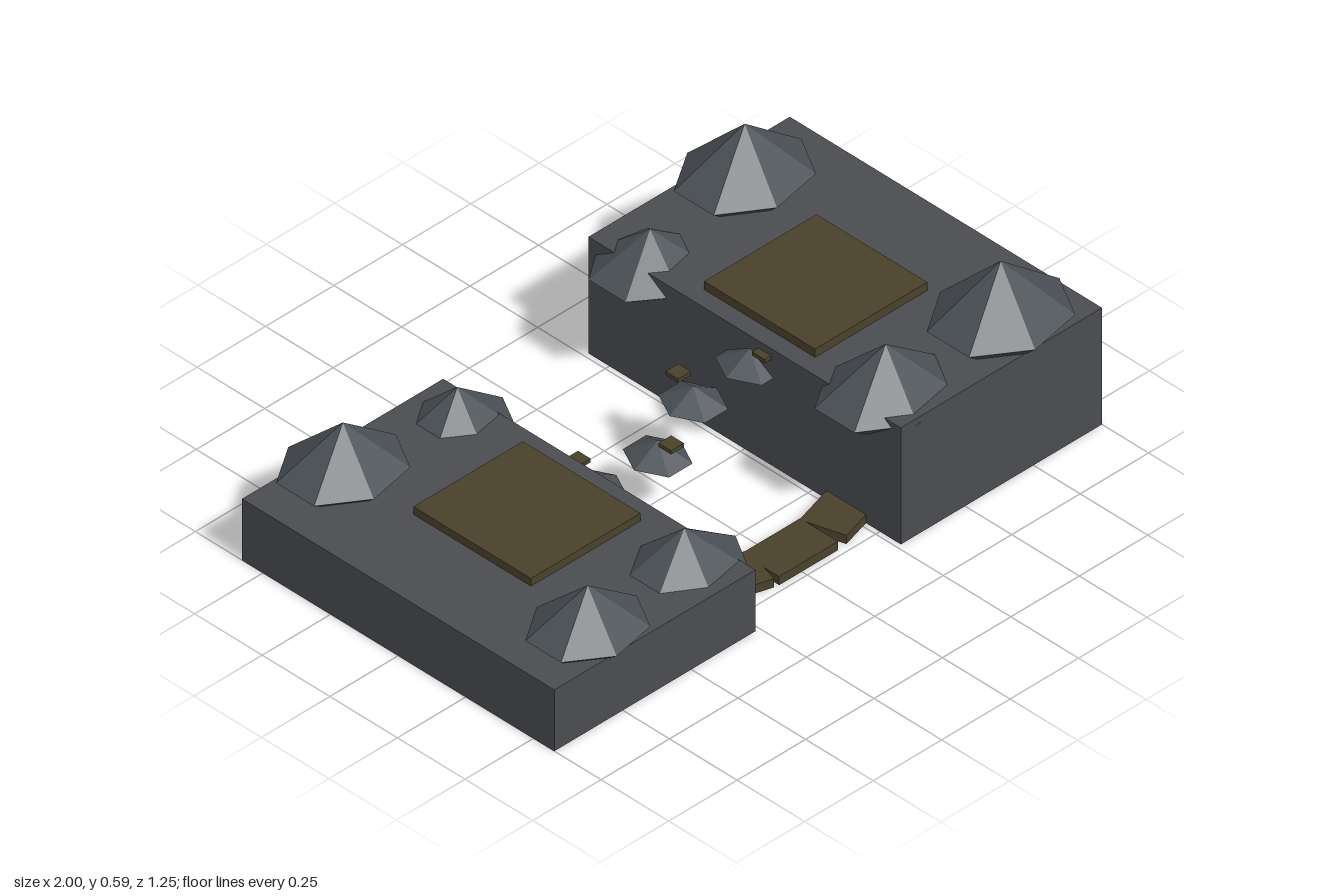
import * as THREE from 'three';

const material = (name, color, flatShading = false) => {
  const m = new THREE.MeshStandardMaterial({ color, flatShading });
  m.name = name;
  return m;
};

export function createModel() {
  const group = new THREE.Group();
  const stone = material('slate', 0x4a4c51);
  const rockMat = material('rock grey', 0x4a5055, true);
  const wood = material('dark ochre', 0x4a412b);

  const add = (name, geometry, mat, x, y, z) => {
    const mesh = new THREE.Mesh(geometry, mat);
    mesh.name = name;
    mesh.position.set(x, y, z);
    group.add(mesh);
    return mesh;
  };
  const box = (name, mat, x, y, z, w, h, d) =>
    add(name, new THREE.BoxGeometry(w, h, d), mat, x, y + h / 2, z);

  // Two cliffs of different height, each with a flat platform on top
  box('lowCliff', stone, -0.633, 0, 0, 0.735, 0.2, 1.155);
  box('highCliff', stone, 0.633, 0, 0, 0.735, 0.38, 1.155);
  box('lowPlatform', wood, -0.53, 0.2, 0, 0.4, 0.025, 0.435);
  box('highPlatform', wood, 0.525, 0.38, 0, 0.41, 0.027, 0.41);

  // Double-pointed rocks sunk into the cliff tops
  const boulder = new THREE.SphereGeometry(1, 7, 2).rotateY(Math.PI);
  const rocks = [ // x, y, z, then radii
    [-0.735, 0.222, -0.473, 0.194, 0.142, 0.162],
    [-0.76, 0.218, 0.457, 0.18, 0.13, 0.152],
    [-0.345, 0.165, -0.445, 0.166, 0.122, 0.142],
    [-0.37, 0.182, 0.42, 0.187, 0.124, 0.15],
    [0.72, 0.41, -0.46, 0.207, 0.16, 0.17],
    [0.76, 0.42, 0.446, 0.214, 0.17, 0.18],
    [0.335, 0.335, -0.42, 0.175, 0.118, 0.157],
    [0.37, 0.36, 0.415, 0.208, 0.15, 0.17],
  ];
  for (const [x, y, z, rx, ry, rz] of rocks)
    add('cliffRock', boulder, rockMat, x, y, z).scale.set(rx, ry, rz);

  // Floating stepping stones climbing across the gap, each with a small marker
  const step = new THREE.SphereGeometry(1, 6, 2);
  const steps = [[-0.25, -0.04, -0.095], [-0.082, 0.03, 0.08], [0.097, -0.02, -0.075], [0.265, 0.02, 0.075]];
  steps.forEach(([x, z, markerZ], i) => {
    const y = 0.122 + i * 0.055;
    add('steppingStone', step, rockMat, x, y, z).scale.set(0.086, 0.052, 0.099);
    box('stepMarker', wood, x, y + 0.058, markerZ, 0.047, 0.012, 0.047);
  });

  // Curved plank path along the ground between the cliffs
  box('pathMiddle', wood, 0.025, 0, 0.41, 0.215, 0.028, 0.14);
  box('pathRight', wood, -0.182, 0, 0.38, 0.215, 0.028, 0.14).rotation.y = -0.28;
  box('pathLeft', wood, 0.25, 0, 0.38, 0.215, 0.028, 0.14).rotation.y = 0.28;

  return group;
}
